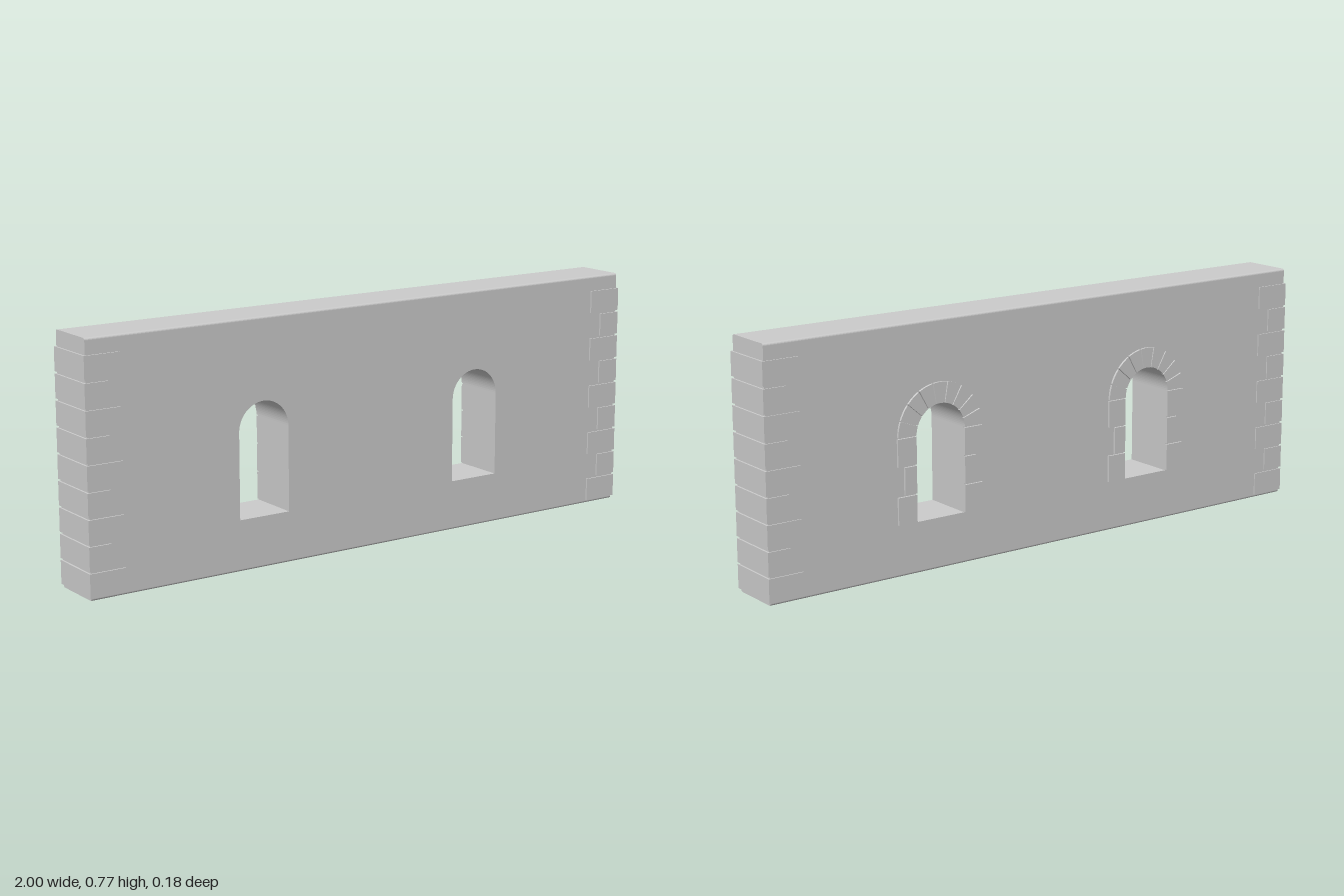
import * as THREE from 'three';

export function createModel() {
  const model = new THREE.Group();
  const mat = new THREE.MeshStandardMaterial({ color: 0xcccccc });
  const add = (name, geo, parent = model) => {
    const mesh = new THREE.Mesh(geo, mat);
    mesh.name = name;
    parent.add(mesh);
    return mesh;
  };
  const group = (name) => {
    const g = new THREE.Group();
    g.name = name;
    model.add(g);
    return g;
  };

  const halfX = 0.994, height = 0.77, front = 0.086, back = -0.084, bevel = 0.007;
  const sill = 0.16, spring = 0.428, radius = 0.0875, windows = [-0.4, 0.4];

  // Wall slab with two arched openings
  const face = new THREE.Shape();
  face.moveTo(-halfX, bevel);
  face.lineTo(halfX, bevel);
  face.lineTo(halfX, height - bevel);
  face.lineTo(-halfX, height - bevel);
  face.closePath();
  for (const x of windows) {
    const hole = new THREE.Path();
    hole.moveTo(x - radius, sill);
    hole.lineTo(x + radius, sill);
    hole.lineTo(x + radius, spring);
    hole.absarc(x, spring, radius, 0, Math.PI, false);
    hole.closePath();
    face.holes.push(hole);
  }
  const slab = new THREE.ExtrudeGeometry(face, { depth: front - back, bevelEnabled: false, curveSegments: 24 });
  add('wall', slab.translate(0, 0, back));

  // Softened strips along the top and bottom of the wall
  const strip = new THREE.Shape();
  strip.moveTo(back, 0);
  strip.lineTo(front, 0);
  strip.absarc(front - bevel, 0, bevel, 0, Math.PI / 2, false);
  strip.absarc(back + bevel, 0, bevel, Math.PI / 2, Math.PI, false);
  for (const top of [true, false]) {
    const geo = new THREE.ExtrudeGeometry(strip, { depth: 2 * halfX, bevelEnabled: false, curveSegments: 4 });
    geo.translate(0, 0, -halfX).rotateY(-Math.PI / 2);
    // Profile runs along z after the turn, and the lower strip is rolled over
    if (!top) geo.translate(0, 0, -(front + back) / 2).rotateX(Math.PI).translate(0, 0, (front + back) / 2);
    add(top ? 'topEdge' : 'bottomEdge', geo.translate(0, top ? height - bevel : bevel, 0));
  }

  // Corner stones, alternately long and short
  const pitch = 0.0797, stoneHeight = 0.073;
  for (const side of [-1, 1]) {
    const corner = group(side > 0 ? 'leftCornerStones' : 'rightCornerStones');
    for (let i = 0; i < 9; i++) {
      const length = i % 2 ? 0.075 : 0.117;
      const stone = add('cornerStone', new THREE.BoxGeometry(length, stoneHeight, 0.179), corner);
      stone.position.set(side * (1 - length / 2), 0.01 + stoneHeight / 2 + i * pitch, 0.0015);
    }
  }

  // Stone surround of each opening, on the back only
  const outer = 0.152, proud = -0.091, depth = 0.012, count = 9, gap = 0.012;
  for (const x of windows) {
    const surround = group('windowSurround');
    for (let i = 0; i < count; i++) {
      const a = (i / count) * Math.PI + gap, b = ((i + 1) / count) * Math.PI - gap;
      const wedge = new THREE.Shape();
      wedge.absarc(0, 0, outer, a, b, false);
      wedge.absarc(0, 0, radius, b, a, true);
      wedge.closePath();
      const geo = new THREE.ExtrudeGeometry(wedge, { depth, bevelEnabled: false, curveSegments: 4 });
      add('archStone', geo.translate(x, spring, proud), surround);
    }
    const course = (spring - sill) / 3;
    for (const side of [-1, 1]) {
      for (let i = 0; i < 3; i++) {
        const width = i === 1 ? 0.042 : 0.066;
        const stone = add('jambStone', new THREE.BoxGeometry(width, course - 0.004, depth), surround);
        stone.position.set(x + side * (radius + width / 2), sill + (i + 0.5) * course, proud + depth / 2);
      }
    }
  }
  return model;
}
